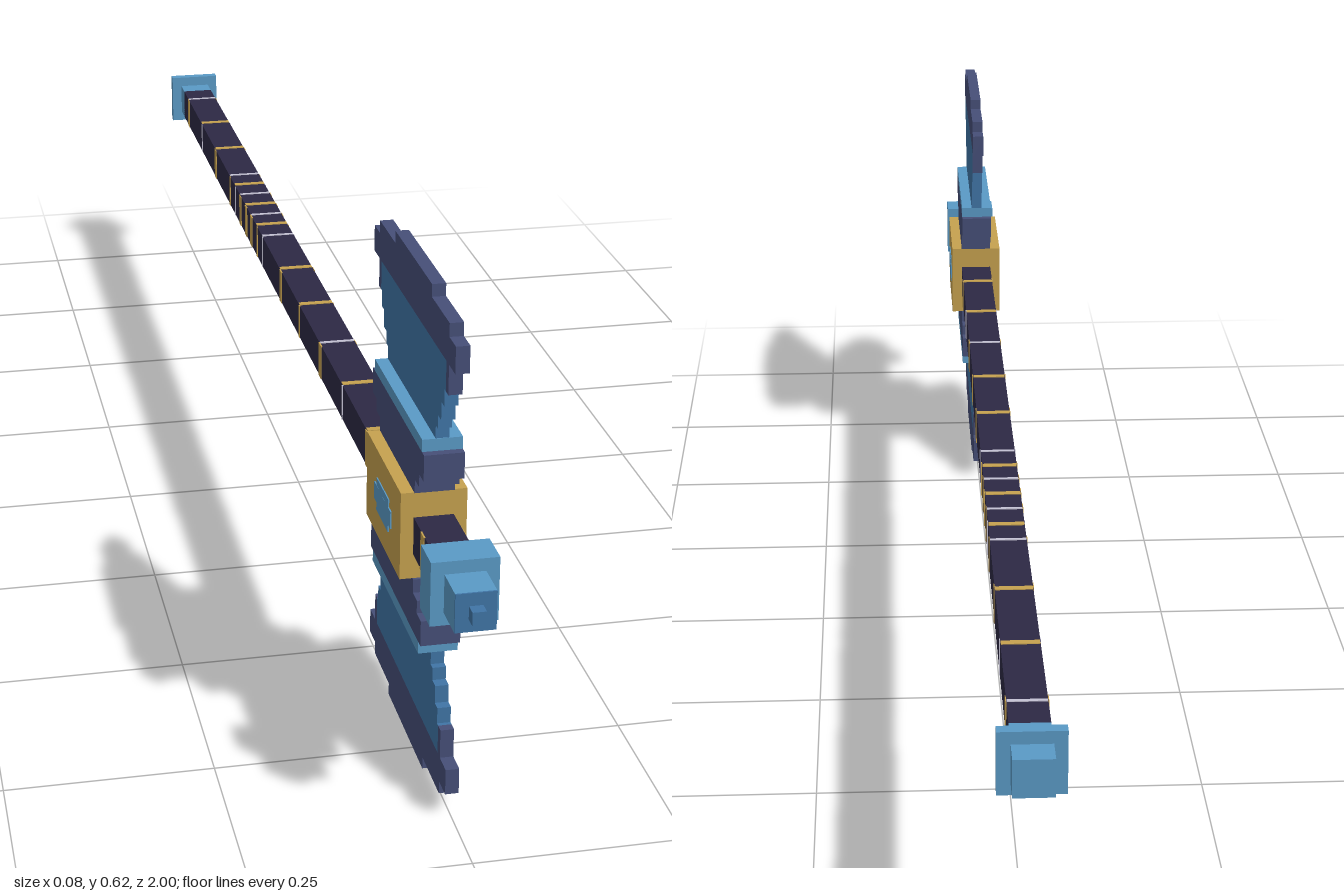
import * as THREE from 'three';

const mat = (name, color) => {
  const m = new THREE.MeshStandardMaterial({ color });
  m.name = name;
  return m;
};

export function createModel() {
  const shaftDark = mat('shaftDark', 0x2d2944);
  const slate = mat('slate', 0x464f78);
  const blue = mat('blue', 0x4075a6);
  const lightBlue = mat('lightBlue', 0x5a9ac6);
  const gold = mat('gold', 0xc6a24f);
  const pale = mat('pale', 0xc4c2d4);

  const model = new THREE.Group();
  model.name = 'doubleAxe';
  const CY = 0.308; // height of the shaft axis
  const HZ = 0.71; // middle of the axe head

  // Box from full x width, y range and z range
  const box = (parent, name, m, w, y0, y1, z0, z1, x = 0) => {
    const mesh = new THREE.Mesh(new THREE.BoxGeometry(w, y1 - y0, z1 - z0), m);
    mesh.position.set(x, (y0 + y1) / 2, (z0 + z1) / 2);
    mesh.name = name;
    parent.add(mesh);
    return mesh;
  };
  // Square block centred on the shaft axis
  const block = (name, m, half, z0, z1) => box(model, name, m, half * 2, CY - half, CY + half, z0, z1);

  // Shaft
  block('shaft', shaftDark, 0.0235, -0.92, 0.9);

  // Bands on the shaft's two sides: [z, width, material]
  const sideBands = [
    [0.84, 0.016, gold], [0.555, 0.016, gold], [0.27, 0.016, gold], [-0.01, 0.016, gold],
    [-0.25, 0.016, gold], [-0.295, 0.016, gold], [-0.345, 0.016, gold], [-0.58, 0.016, gold],
    [-0.865, 0.016, gold], [0.127, 0.006, gold], [-0.2, 0.006, gold], [-0.44, 0.006, gold],
    [0.41, 0.004, pale], [-0.155, 0.004, pale], [-0.39, 0.004, pale], [-0.72, 0.004, pale],
  ];
  for (const [z, w, m] of sideBands)
    for (const s of [-1, 1])
      box(model, 'sideBand', m, 0.002, CY - 0.0235, CY + 0.0235, z - w / 2, z + w / 2, s * 0.0235);

  // Bands across the top and a few underneath
  const topGold = [-0.73, -0.587, -0.4, -0.303, -0.21, -0.02, 0.122, 0.405, 0.55];
  const topPale = [-0.87, -0.447, -0.352, -0.255, -0.16, 0.265];
  const across = (z, w, m, y) => box(model, 'crossBand', m, 0.046, y - 0.001, y + 0.001, z - w / 2, z + w / 2);
  topGold.forEach((z) => across(z, 0.009, gold, CY + 0.0235));
  topPale.forEach((z) => across(z, 0.005, pale, CY + 0.0235));
  [-0.7, -0.25, 0.18].forEach((z) => across(z, 0.005, pale, CY - 0.0235));
  across(-0.16, 0.009, gold, CY - 0.0235);

  // Front knob and tip
  block('frontCollar', lightBlue, 0.039, 0.893, 0.938);
  block('frontKnob', lightBlue, 0.0235, 0.938, 0.983);
  block('frontKnobFace', blue, 0.0235, 0.983, 0.985);
  block('frontTip', blue, 0.008, 0.985, 1);

  // Rear cap
  block('rearCap', lightBlue, 0.0235, -1, -0.918);
  block('rearFlange', lightBlue, 0.039, -0.967, -0.953);

  // Gold head block with an eight-sided inlay on each side
  box(model, 'headBlock', gold, 0.078, 0.254, 0.363, 0.622, 0.796);
  for (const s of [-1, 1]) {
    box(model, 'inlay', lightBlue, 0.003, CY - 0.011, CY + 0.011, HZ - 0.042, HZ + 0.042, s * 0.039);
    box(model, 'inlay', lightBlue, 0.0028, CY - 0.021, CY + 0.021, HZ - 0.03, HZ + 0.03, s * 0.039);
  }

  // Blade rows: [bottom, top, half length, thickness, material]
  const T = 0.047, t = 0.016;
  const rows = [
    [0.363, 0.38, 0.088, T, slate],
    [0.38, 0.396, 0.108, T, slate],
    [0.396, 0.428, 0.128, T, slate],
    [0.428, 0.443, 0.118, T, lightBlue],
    [0.443, 0.459, 0.117, t, blue],
    [0.459, 0.475, 0.126, t, blue],
    [0.475, 0.497, 0.14, t, blue],
    [0.497, 0.517, 0.152, t, blue],
    [0.517, 0.553, 0.157, t, blue],
    [0.553, 0.585, 0.195, t, slate],
    [0.585, 0.601, 0.167, t, slate],
    [0.601, 0.616, 0.088, t, slate],
  ];
  for (const up of [true, false]) {
    const blade = new THREE.Group();
    blade.name = up ? 'upperBlade' : 'lowerBlade';
    const row = (name, m, w, y0, y1, z0, z1) =>
      up ? box(blade, name, m, w, y0, y1, z0, z1) : box(blade, name, m, w, 2 * CY - y1, 2 * CY - y0, z0, z1);
    for (const [y0, y1, h, w, m] of rows) row('bladeRow', m, w, y0, y1, HZ - h, HZ + h);
    // Dark ends of the cutting edge
    row('edgeEnd', slate, t, 0.517, 0.553, HZ + 0.157, HZ + 0.168);
    row('edgeEnd', slate, t, 0.517, 0.553, HZ - 0.168, HZ - 0.157);
    model.add(blade);
  }
  return model;
}
